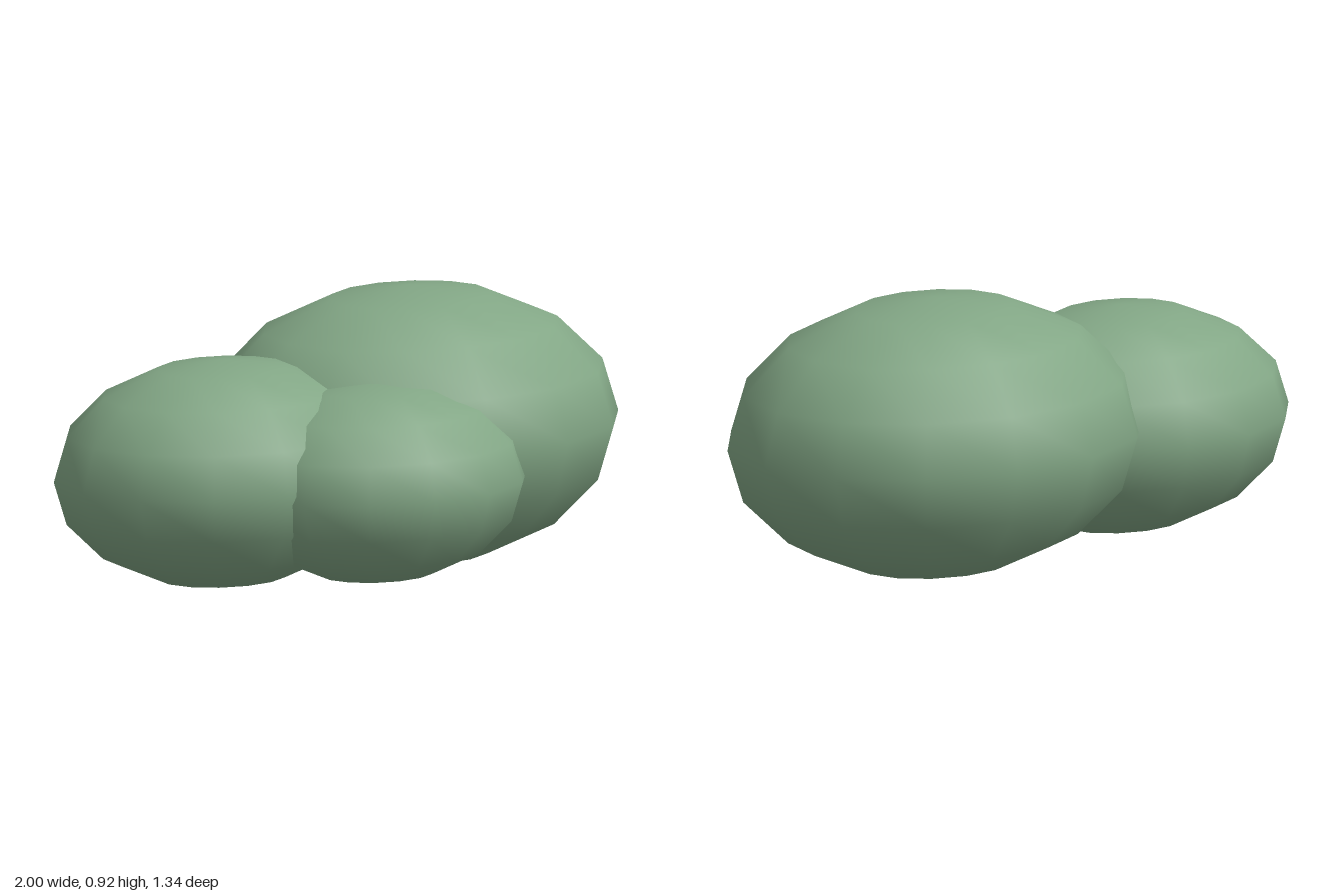
import * as THREE from 'three';

export function createModel() {
  const model = new THREE.Group();
  model.name = 'bush';

  const leafGreen = new THREE.MeshStandardMaterial({ color: 0x82a685 });
  leafGreen.name = 'leafGreen';

  // One low-sided smooth ball, turned so that a vertex column faces front and back
  const ball = new THREE.SphereGeometry(1, 14, 8).rotateY(Math.PI / 2);

  // Each clump is the same flattened ball at its own size
  const addClump = (name, size, x, y, z) => {
    const clump = new THREE.Mesh(ball, leafGreen);
    clump.name = name;
    clump.scale.set(size, size * 0.647, size * 0.802);
    clump.position.set(x, y, z);
    model.add(clump);
  };

  addClump('largeClump', 0.708, 0.31, 0.462, -0.104);
  addClump('mediumClump', 0.575, -0.44, 0.4, 0.022);
  addClump('smallClump', 0.508, 0, 0.372, 0.257);

  return model;
}
